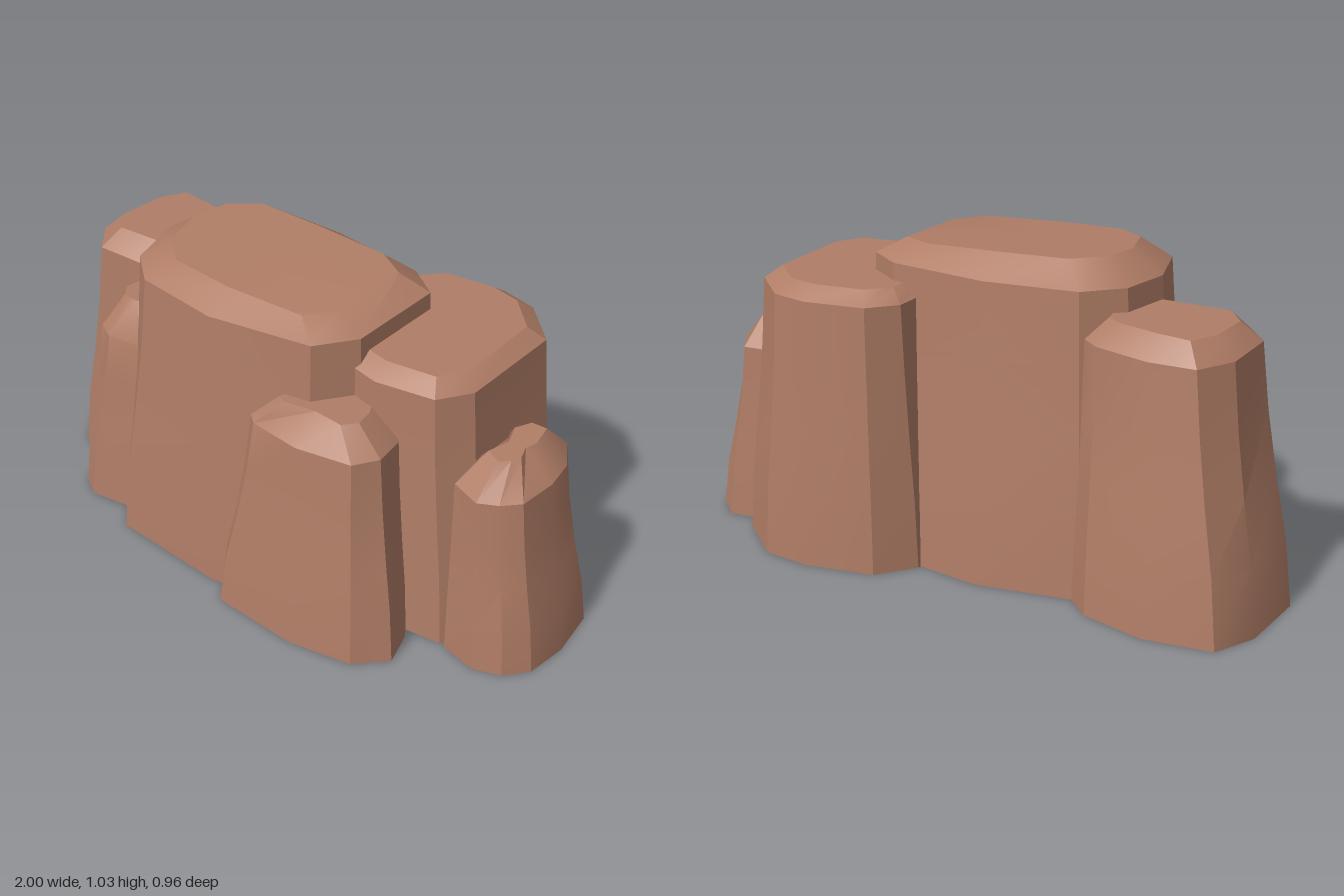
import * as THREE from 'three';
import { toCreasedNormals } from 'three/addons/utils/BufferGeometryUtils.js';

// Height fraction and how far the wall has moved from the foot to the shoulder outline.
const WALL = [[0, 0], [0.26, 0.2], [0.5, 0.52], [0.75, 0.8], [1, 1]];

// Lofts a rock column. Each corner is [footX, footZ, shoulderX, shoulderZ],
// anticlockwise seen from above; the bevelled top can tilt along x and z.
function columnGeometry({ corners, shoulder, top, inset, tilt = [0, 0] }) {
  const n = corners.length;
  const mean = k => corners.reduce((s, c) => s + c[k], 0) / n;
  const cx = mean(2), cz = mean(3);
  const topY = (x, z) => top + tilt[0] * (x - cx) + tilt[1] * (z - cz);

  const rings = WALL.map(([h, f]) => corners.map(([bx, bz, sx, sz]) =>
    [bx + (sx - bx) * f, shoulder * h, bz + (sz - bz) * f]));
  rings.push(corners.map(([, , sx, sz]) => {
    const d = Math.hypot(sx - cx, sz - cz), k = Math.max(0.2, 1 - inset / d);
    const x = cx + (sx - cx) * k, z = cz + (sz - cz) * k;
    return [x, topY(x, z), z];
  }));

  const pos = [];
  const tri = (a, b, c) => pos.push(...a, ...b, ...c);
  const foot = [mean(0), 0, mean(1)], peak = [cx, top, cz];
  const last = rings[rings.length - 1];
  for (let i = 0; i < n; i++) {
    const j = (i + 1) % n;
    for (let r = 0; r < rings.length - 1; r++) {
      const lo = rings[r], hi = rings[r + 1];
      tri(lo[i], lo[j], hi[j]);
      tri(lo[i], hi[j], hi[i]);
    }
    tri(peak, last[i], last[j]);
    tri(foot, rings[0][j], rings[0][i]);
  }
  const geo = new THREE.BufferGeometry();
  geo.setAttribute('position', new THREE.Float32BufferAttribute(pos, 3));
  return toCreasedNormals(geo, 0.45);
}

const COLUMNS = {
  mainColumn: {
    shoulder: 0.96, top: 1.02, inset: 0.1, tilt: [-0.03, -0.03],
    corners: [
      [-0.47, 0.35, -0.37, 0.30], [-0.06, 0.39, -0.08, 0.345], [0.28, 0.33, 0.26, 0.29],
      [0.40, 0.18, 0.35, 0.17], [0.42, -0.17, 0.36, -0.17], [0.28, -0.30, 0.25, -0.25],
      [-0.08, -0.365, -0.08, -0.30], [-0.42, -0.32, -0.38, -0.27], [-0.57, -0.18, -0.49, -0.17],
      [-0.62, 0, -0.53, 0], [-0.57, 0.22, -0.48, 0.20],
    ],
  },
  backLeftColumn: {
    shoulder: 0.865, top: 0.905, inset: 0.06,
    corners: [
      [0.18, 0.16, 0.20, 0.15], [0.42, 0.22, 0.43, 0.208], [0.69, 0.195, 0.62, 0.18],
      [0.77, 0.08, 0.69, 0.08], [0.78, -0.31, 0.70, -0.29], [0.62, -0.46, 0.57, -0.425],
      [0.46, -0.485, 0.45, -0.455], [0.23, -0.45, 0.25, -0.43], [0.13, -0.34, 0.17, -0.35],
      [0.11, -0.05, 0.15, -0.05],
    ],
  },
  backRightColumn: {
    shoulder: 0.82, top: 0.885, inset: 0.07, tilt: [0.02, 0],
    corners: [
      [-0.91, 0.07, -0.79, 0.055], [-0.54, 0.07, -0.50, 0.055], [-0.38, -0.02, -0.38, -0.03],
      [-0.39, -0.32, -0.40, -0.27], [-0.47, -0.40, -0.46, -0.32], [-0.68, -0.46, -0.64, -0.375],
      [-0.90, -0.44, -0.79, -0.375], [-0.975, -0.31, -0.86, -0.26], [-1.0, -0.06, -0.87, -0.05],
    ],
  },
  frontRightColumn: {
    shoulder: 0.64, top: 0.76, inset: 0.08, tilt: [0.06, 0],
    corners: [
      [-0.75, 0.24, -0.665, 0.20], [-0.68, 0.285, -0.60, 0.24], [-0.54, 0.27, -0.48, 0.225],
      [-0.44, 0.20, -0.42, 0.17], [-0.45, -0.02, -0.44, 0], [-0.74, 0, -0.67, 0],
      [-0.79, 0.10, -0.705, 0.09],
    ],
  },
  frontLeftColumn: {
    shoulder: 0.69, top: 0.773, inset: 0.09,
    corners: [
      [-0.01, 0.40, 0.09, 0.36], [0.025, 0.45, 0.125, 0.39], [0.32, 0.475, 0.30, 0.415],
      [0.53, 0.44, 0.48, 0.385], [0.62, 0.35, 0.53, 0.31], [0.59, 0.24, 0.52, 0.21],
      [0.50, 0.08, 0.45, 0.08], [0.15, 0.08, 0.18, 0.08], [0.01, 0.28, 0.11, 0.25],
    ],
  },
  farLeftColumn: {
    shoulder: 0.59, top: 0.685, inset: 0.1, tilt: [-0.06, -0.03],
    corners: [
      [0.71, 0.20, 0.69, 0.16], [0.83, 0.23, 0.79, 0.20], [0.92, 0.20, 0.85, 0.17],
      [0.98, 0.13, 0.90, 0.12], [1.0, -0.01, 0.915, -0.01], [0.98, -0.18, 0.90, -0.12],
      [0.90, -0.258, 0.84, -0.22], [0.78, -0.25, 0.75, -0.215], [0.69, -0.16, 0.68, -0.14],
      [0.68, 0.02, 0.67, 0.02],
    ],
  },
};

export function createModel() {
  const rock = new THREE.MeshStandardMaterial({ color: 0xb07d66 });
  rock.name = 'redBrownRock';

  const group = new THREE.Group();
  group.name = 'rockFormation';
  for (const [name, spec] of Object.entries(COLUMNS)) {
    const mesh = new THREE.Mesh(columnGeometry(spec), rock);
    mesh.name = name;
    group.add(mesh);
  }
  return group;
}
